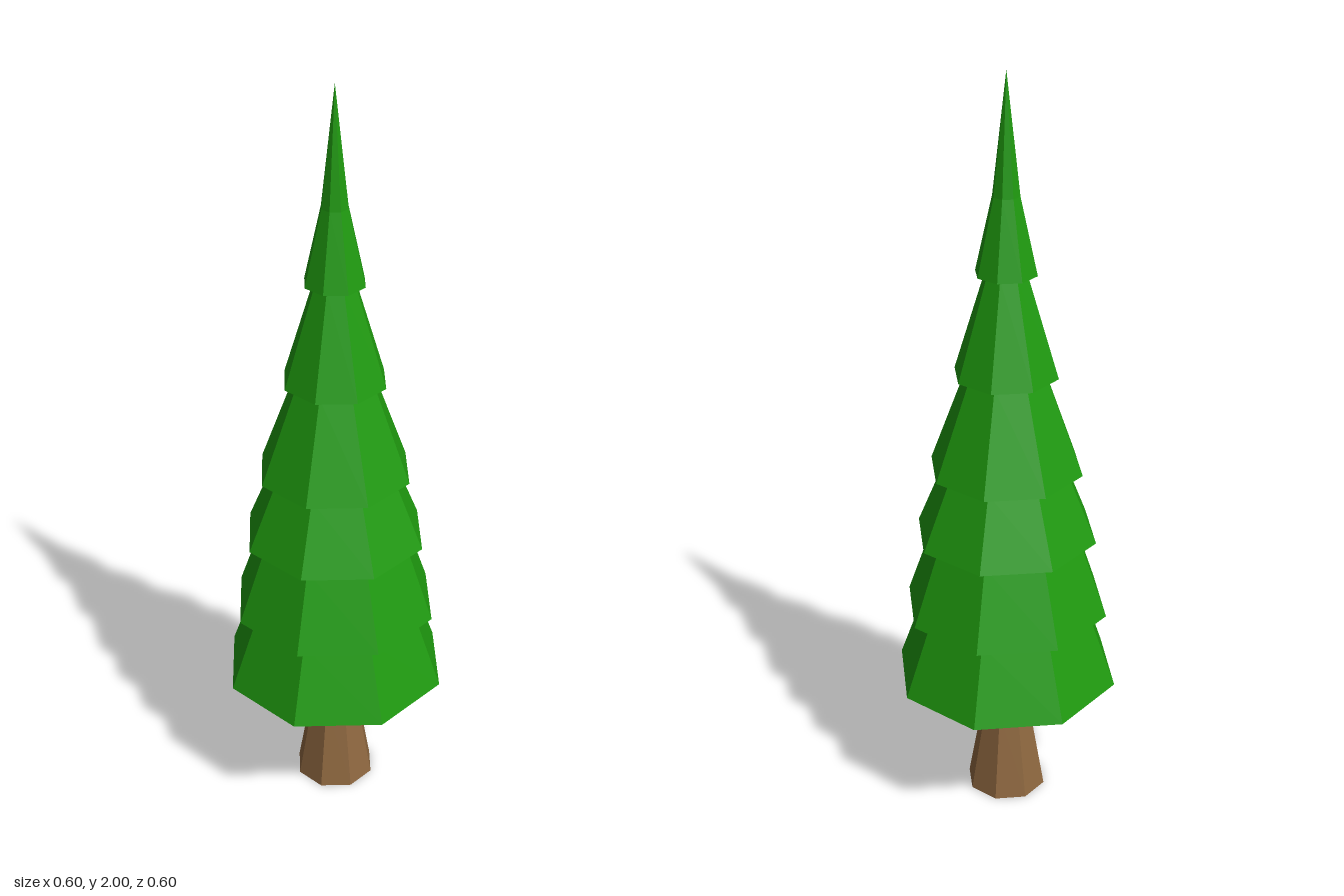
import * as THREE from 'three';

const SIDES = 8;

// Faceted eight-sided solid turned from [radius, height] points, bottom to top
function turned(name, profile, color) {
  const points = profile.map(([r, y]) => new THREE.Vector2(r, y));
  const mesh = new THREE.Mesh(
    new THREE.LatheGeometry(points, SIDES),
    new THREE.MeshStandardMaterial({ color, flatShading: true })
  );
  mesh.name = name;
  return mesh;
}

export function createModel() {
  const tree = new THREE.Group();
  tree.name = 'pineTree';

  // Trunk flaring towards the closed base
  tree.add(turned('trunk', [[0, 0], [0.108, 0], [0.065, 0.25], [0.055, 0.365]], 0x8f6840));

  // Branch tiers: skirt height, skirt radius, radius where it meets the next tier
  const tiers = [
    [0.365, 0.3, 0.225],
    [0.575, 0.272, 0.197],
    [0.79, 0.24, 0.162],
    [0.98, 0.201, 0.105],
    [1.24, 0.135, 0.054],
    [1.505, 0.079, 0.035],
  ];
  const foliage = new THREE.Group();
  foliage.name = 'foliage';
  tiers.forEach(([y, skirt, neck], i) => {
    const inner = i ? tiers[i - 1][2] : 0.055;
    const profile = [[inner, y], [skirt, y]];
    // The last tier tapers through a knee to the tip
    if (i === tiers.length - 1) profile.push([neck, 1.7], [0, 2]);
    else profile.push([neck, tiers[i + 1][0]]);
    foliage.add(turned(`branchTier${i + 1}`, profile, 0x1f9a0f));
  });
  tree.add(foliage);

  return tree;
}
